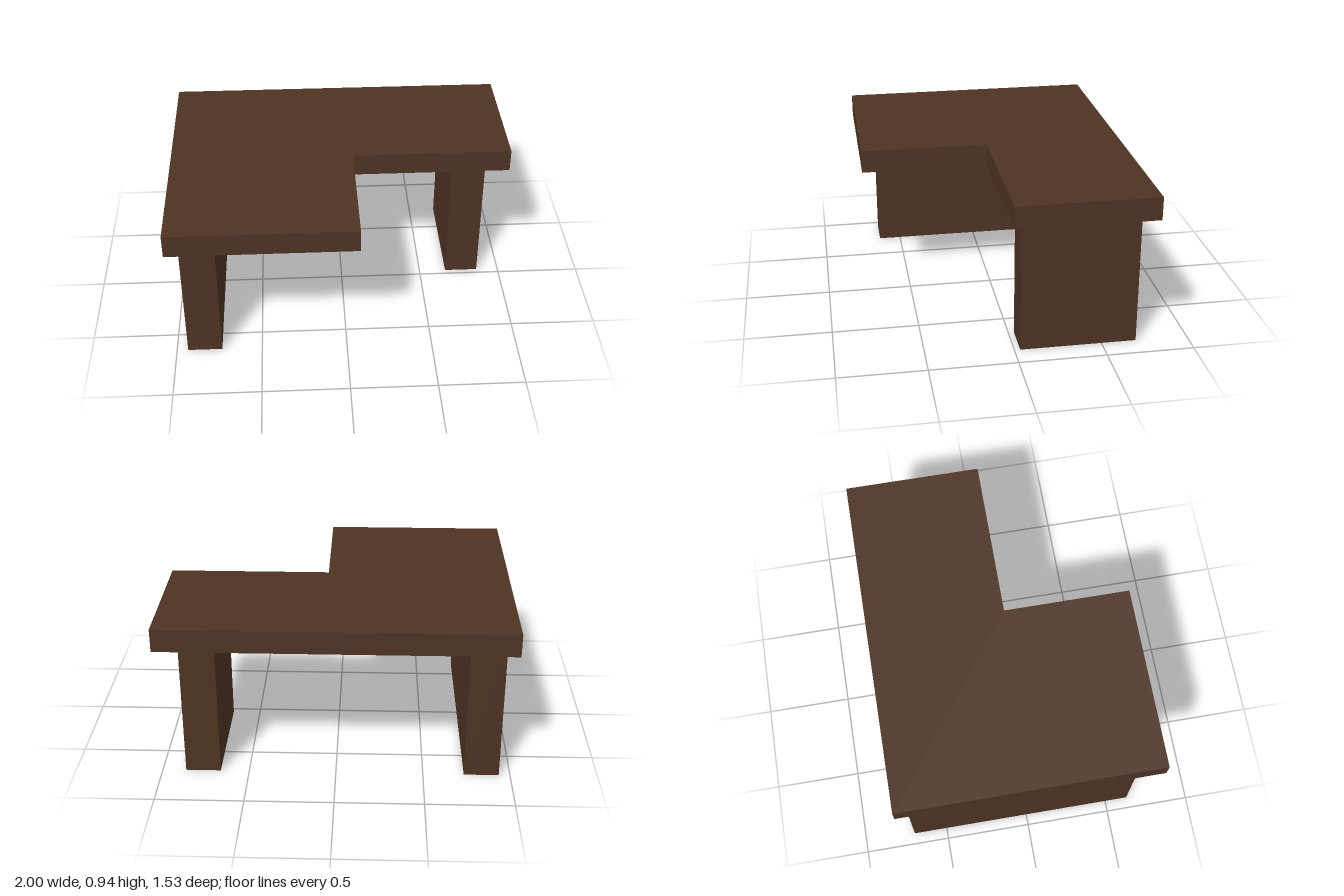
import * as THREE from 'three';

const TOP_Y = 0.935, LEG_H = 0.802;

export function createModel() {
  const group = new THREE.Group();
  const wood = new THREE.MeshStandardMaterial({ color: 0x4e3323, side: THREE.DoubleSide });
  wood.name = 'darkWood';

  // L-shaped top: outline in x and z, extruded downwards
  const outline = [[-1, -0.767], [1, -0.767], [1, 0.03], [0.065, 0.03], [0.065, 0.767], [-1, 0.767]];
  const shape = new THREE.Shape(outline.map(([x, z]) => new THREE.Vector2(x, z)));
  const topGeometry = new THREE.ExtrudeGeometry(shape, { depth: TOP_Y - LEG_H, bevelEnabled: false });
  topGeometry.rotateX(Math.PI / 2);
  const top = new THREE.Mesh(topGeometry, wood);
  top.name = 'tableTop';
  top.position.y = TOP_Y;
  group.add(top);

  // Hollow panel legs: four walls, open at the top and the floor
  function addLeg(name, x0, x1, z0, z1) {
    const geometry = new THREE.BoxGeometry(x1 - x0, LEG_H, z1 - z0);
    const index = Array.from(geometry.index.array);
    index.splice(12, 12); // drop the top and bottom faces
    geometry.setIndex(index);
    geometry.clearGroups();
    const leg = new THREE.Mesh(geometry, wood);
    leg.name = name;
    leg.position.set((x0 + x1) / 2, LEG_H / 2, (z0 + z1) / 2);
    group.add(leg);
  }
  addLeg('longRightLeg', -0.935, -0.735, -0.7, 0.635);
  addLeg('shortLeftLeg', 0.665, 0.865, -0.7, -0.033);

  return group;
}
